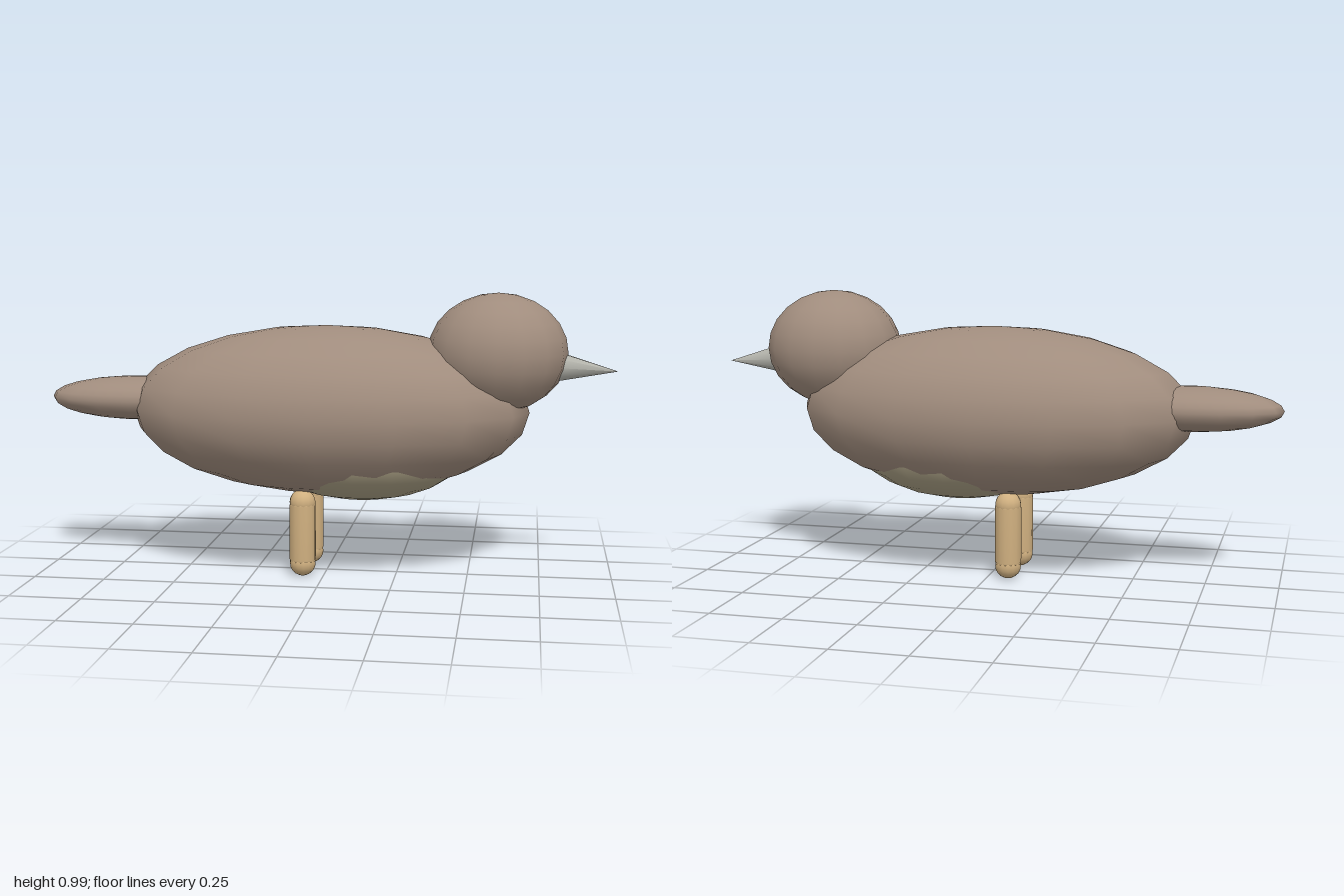
import * as THREE from 'three';

const mat = (color) => new THREE.MeshStandardMaterial({ color });

export function createModel() {
  const bird = new THREE.Group();
  bird.name = 'bird';
  const feather = mat(0xa08c7d);
  const bellyMat = mat(0xa79d82);
  const legMat = mat(0xd0b080);
  const beakMat = mat(0xb4b4ac);

  const add = (parent, name, geometry, material, x, y, z) => {
    const mesh = new THREE.Mesh(geometry, material);
    mesh.name = name;
    mesh.position.set(x, y, z);
    parent.add(mesh);
    return mesh;
  };
  // Ellipsoid with its own radii along x, y and z
  const ellipsoid = (name, material, [x, y, z], [rx, ry, rz]) =>
    add(bird, name, new THREE.SphereGeometry(1, 16, 12).scale(rx, ry, rz), material, x, y, z);

  // Plump body, pale belly, head and flat tail
  ellipsoid('body', feather, [0, 0.58, 0], [0.705, 0.295, 0.35]);
  ellipsoid('belly', bellyMat, [0.12, 0.45, 0], [0.38, 0.185, 0.27]);
  ellipsoid('head', feather, [0.592, 0.787, 0], [0.24, 0.205, 0.216]);
  ellipsoid('tail', feather, [-0.68, 0.608, 0], [0.32, 0.077, 0.138]);

  // Beak: cone pointing forward along +x, tipped slightly down
  const beak = add(bird, 'beak', new THREE.ConeGeometry(0.051, 0.2, 10), beakMat, 0.9, 0.735, 0);
  beak.rotation.z = -Math.PI / 2 - 0.07;

  // Legs: bevelled shaft with a ball at each end
  const shaft = [[0, 0.045], [0.041, 0.045], [0.046, 0.06], [0.046, 0.252], [0.041, 0.267], [0, 0.267]]
    .map(([r, y]) => new THREE.Vector2(r, y));
  for (const side of [1, -1]) {
    const leg = new THREE.Group();
    leg.name = side > 0 ? 'frontSideLeg' : 'backSideLeg';
    leg.position.set(-0.073, 0, side * 0.093);
    add(leg, 'shaft', new THREE.LatheGeometry(shaft, 14), legMat, 0, 0, 0);
    add(leg, 'foot', new THREE.SphereGeometry(0.046, 14, 10), legMat, 0, 0.046, 0);
    add(leg, 'hip', new THREE.SphereGeometry(0.046, 14, 10), legMat, 0, 0.262, 0);
    bird.add(leg);
  }
  return bird;
}
